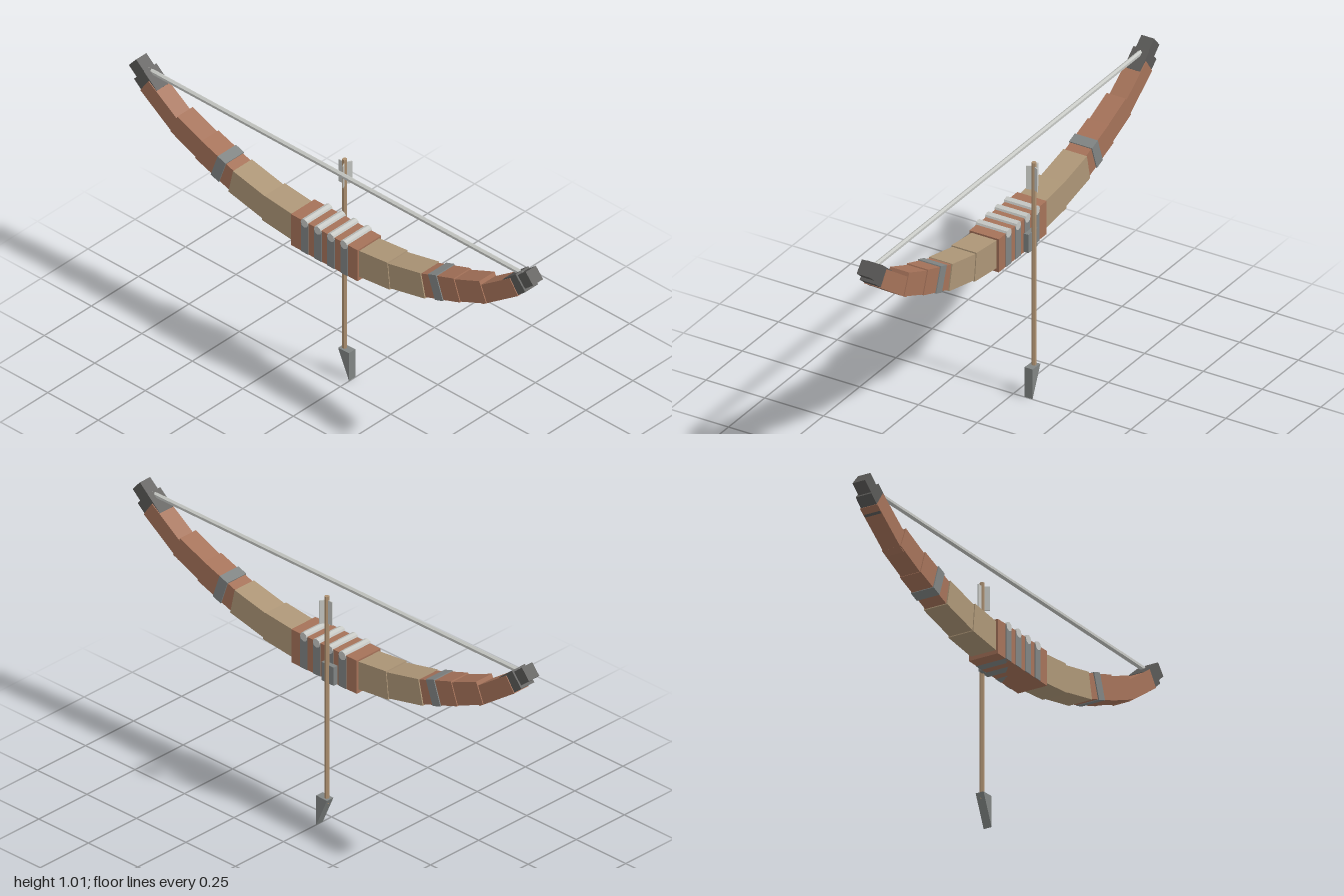
import * as THREE from 'three';

const mat = (name, color) => {
  const m = new THREE.MeshStandardMaterial({ color, flatShading: true });
  m.name = name;
  return m;
};

export function createModel() {
  const brown = mat('brown wood', 0xa57259);
  const tan = mat('tan wood', 0xad9677);
  const steel = mat('grey steel', 0x808483);
  const dark = mat('dark horn', 0x5a5957);
  const pale = mat('pale cord', 0xc6c8c4);
  const shaftWood = mat('shaft wood', 0xad9070);

  const model = new THREE.Group();
  model.name = 'bowAndArrow';
  const bowX = -0.023;

  const add = (name, geometry, material, x, y, z, parent = model) => {
    const mesh = new THREE.Mesh(geometry, material);
    mesh.name = name;
    mesh.position.set(x, y, z);
    parent.add(mesh);
    return mesh;
  };

  // Limbs: tilted boxes along the curve, [name, material, z0, y0, z1, y1, thickness, width]
  const segments = [
    ['limbInner', tan, 0.1, 0.663, 0.31, 0.686, 0.115, 0.107],
    ['limbMiddle', tan, 0.29, 0.681, 0.475, 0.722, 0.105, 0.1],
    ['limbOuter', brown, 0.465, 0.719, 0.64, 0.78, 0.097, 0.09],
    ['limbUpper', brown, 0.615, 0.768, 0.765, 0.831, 0.09, 0.082],
    ['limbEnd', brown, 0.74, 0.804, 0.915, 0.926, 0.072, 0.074],
    ['limbBand', steel, 0.518, 0.738, 0.558, 0.752, 0.104, 0.098],
    ['nockBase', dark, 0.88, 0.902, 0.945, 0.957, 0.075, 0.068],
    ['nockTip', dark, 0.91, 0.93, 0.983, 0.992, 0.056, 0.054],
  ];
  for (const side of [1, -1]) {
    const limb = new THREE.Group();
    limb.name = side > 0 ? 'frontLimb' : 'backLimb';
    for (const [name, material, z0, y0, z1, y1, thick, width] of segments) {
      const length = Math.hypot(z1 - z0, y1 - y0);
      const mesh = add(name, new THREE.BoxGeometry(width, thick, length), material,
        bowX, (y0 + y1) / 2, side * (z0 + z1) / 2, limb);
      mesh.rotation.x = -side * Math.atan2(y1 - y0, z1 - z0);
    }
    model.add(limb);
  }

  // Grip with four wrapped bands, each topped by a round cord
  add('grip', new THREE.BoxGeometry(0.125, 0.138, 0.33), brown, bowX, 0.666, 0);
  for (const z of [0.1, 0.035, -0.03, -0.095]) {
    add('gripBand', new THREE.BoxGeometry(0.13, 0.136, 0.036), steel, bowX, 0.665, z);
    const cord = add('gripCord', new THREE.CylinderGeometry(0.018, 0.018, 0.133, 8), pale, bowX, 0.73, z);
    cord.rotation.z = Math.PI / 2;
  }

  // Arrow rest on the side of the grip
  add('arrowRest', new THREE.BoxGeometry(0.03, 0.076, 0.062), steel, 0.045, 0.638, -0.038);

  // Bowstring
  const string = add('bowstring', new THREE.CylinderGeometry(0.01, 0.01, 1.86, 6), pale, bowX, 0.972, 0);
  string.rotation.x = Math.PI / 2;

  // Arrow: shaft, three vanes and a wedge head
  const arrow = new THREE.Group();
  arrow.name = 'arrow';
  arrow.position.set(0.064, 0, -0.038);
  model.add(arrow);
  add('shaft', new THREE.CylinderGeometry(0.0095, 0.0095, 0.865, 6), shaftWood, 0, 0.5325, 0, arrow);
  for (let i = 0; i < 3; i++) {
    const vane = new THREE.Group();
    vane.name = 'vane';
    vane.rotation.y = i * Math.PI * 2 / 3;
    add('vanePlate', new THREE.BoxGeometry(0.004, 0.097, 0.028), pale, 0, 0.902, -0.014, vane);
    arrow.add(vane);
  }
  const wedge = new THREE.Shape([
    new THREE.Vector2(-0.037, 0),
    new THREE.Vector2(0.017, 0.122),
    new THREE.Vector2(-0.037, 0.124),
  ]);
  const headGeometry = new THREE.ExtrudeGeometry(wedge, { depth: 0.034, bevelEnabled: false });
  headGeometry.translate(0, 0, -0.017);
  headGeometry.rotateY(Math.PI / 2);
  add('arrowHead', headGeometry, steel, 0, 0, 0, arrow);

  return model;
}
